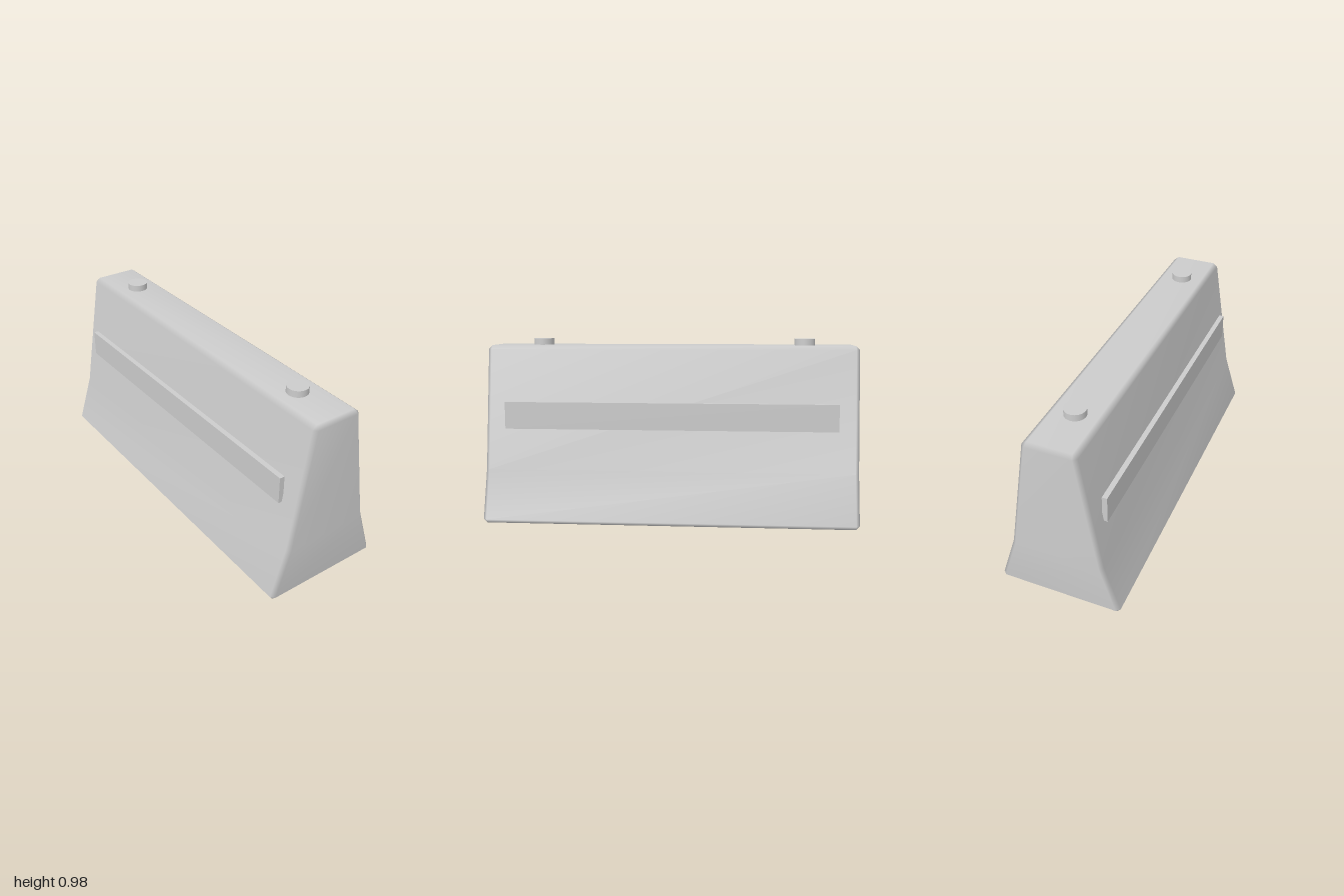
import * as THREE from 'three';
import { mergeVertices } from 'three/addons/utils/BufferGeometryUtils.js';

const material = new THREE.MeshStandardMaterial({ color: 0xcccccc });

// Half profiles as [z, y], bottom to top: full section and chamfered end face
const fullHalf = [[0.31, 0], [0.326, 0.02], [0.244, 0.28], [0.138, 0.925], [0.112, 0.945]];
const endHalf = [[0.306, 0.02], [0.306, 0.02], [0.224, 0.28], [0.118, 0.925], [0.118, 0.925]];

// Closed cross-section: up the front, down the back
function section(half, x) {
  const front = half.map(([z, y]) => [x, y, z]);
  const back = half.map(([z, y]) => [x, y, -z]).reverse();
  return [...front, ...back];
}

function barrierGeometry() {
  const rings = [
    section(endHalf, -1), section(fullHalf, -0.98),
    section(fullHalf, 0.98), section(endHalf, 1),
  ];
  const n = rings[0].length;
  const positions = [];
  const same = (p, q) => p.every((v, i) => v === q[i]);
  const tri = (a, b, c) => {
    if (!same(a, b) && !same(b, c) && !same(a, c)) positions.push(...a, ...b, ...c);
  };
  const quad = (a, b, c, d) => { tri(a, b, c); tri(a, c, d); };

  // Long faces and end chamfers
  for (let r = 0; r < rings.length - 1; r++) {
    const a = rings[r], b = rings[r + 1];
    for (let i = 0; i < n; i++) {
      const j = (i + 1) % n;
      quad(a[i], b[i], b[j], a[j]);
    }
  }
  // End faces
  const left = rings[3], right = rings[0];
  for (let i = 0; i < n / 2 - 1; i++) {
    quad(left[i], left[n - 1 - i], left[n - 2 - i], left[i + 1]);
    quad(right[i + 1], right[n - 2 - i], right[n - 1 - i], right[i]);
  }

  let geometry = new THREE.BufferGeometry();
  geometry.setAttribute('position', new THREE.Float32BufferAttribute(positions, 3));
  geometry = mergeVertices(geometry);
  geometry.computeVertexNormals(); // area weighted, so only the chamfers look rounded
  return geometry;
}

export function createModel() {
  const model = new THREE.Group();
  model.name = 'roadBarrier';

  const add = (name, geometry, x = 0, y = 0, z = 0) => {
    const mesh = new THREE.Mesh(geometry, material);
    mesh.name = name;
    mesh.position.set(x, y, z);
    model.add(mesh);
  };

  add('barrierBody', barrierGeometry());

  // Reflector strips on both long faces
  const strip = new THREE.BoxGeometry(1.78, 0.145, 0.027);
  add('frontStrip', strip, 0, 0.5725, 0.2135);
  add('backStrip', strip, 0, 0.5725, -0.2135);

  // Lifting studs on the top
  const stud = new THREE.CylinderGeometry(0.055, 0.055, 0.07, 32);
  add('leftStud', stud, 0.72, 0.945, 0);
  add('rightStud', stud, -0.72, 0.945, 0);

  return model;
}
